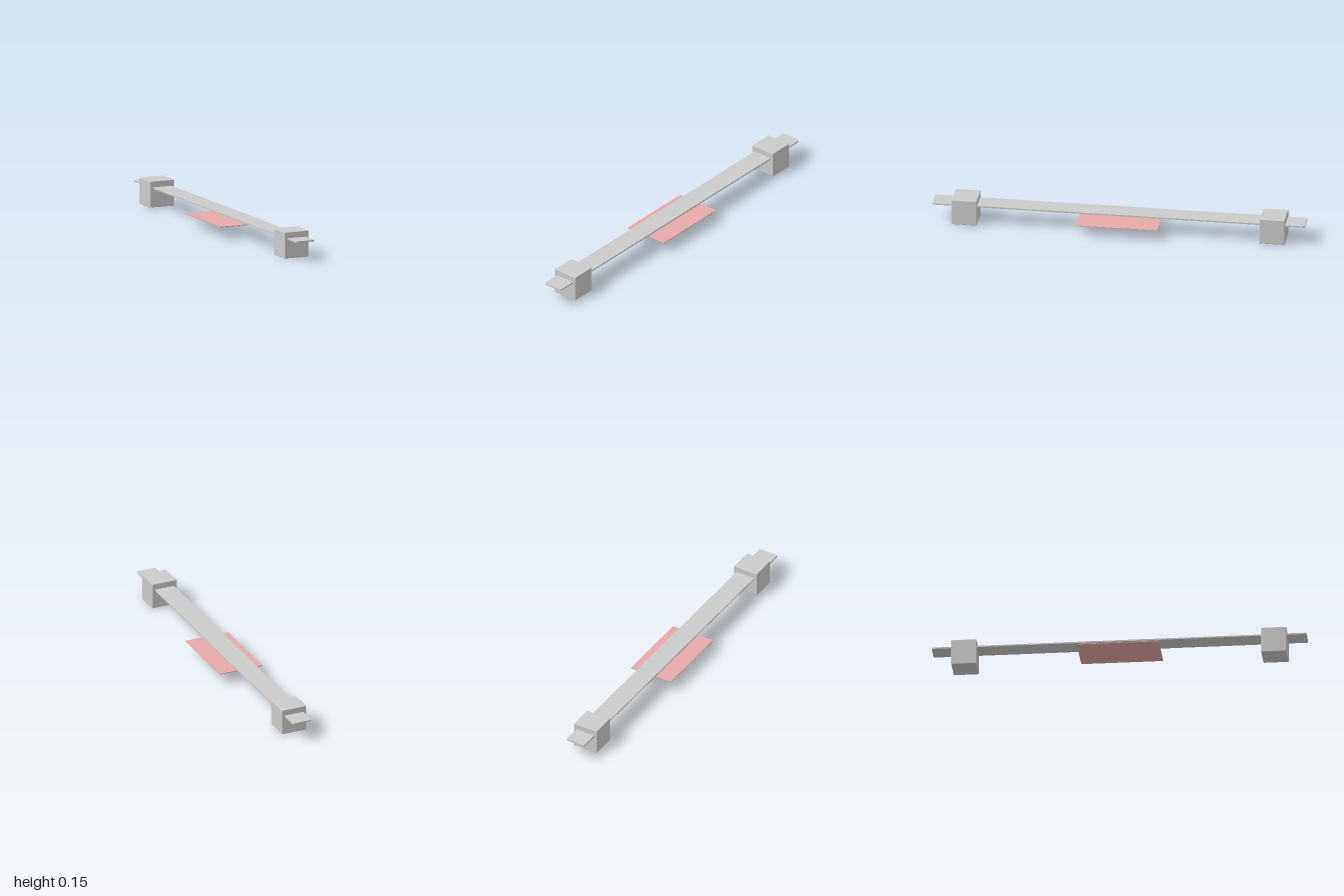
import * as THREE from 'three';
import { RoundedBoxGeometry } from 'three/addons/geometries/RoundedBoxGeometry.js';

const grey = new THREE.MeshStandardMaterial({ color: 0xcccccc });
const pink = new THREE.MeshStandardMaterial({ color: 0xe8a9ab });

function part(name, geometry, material, x, y) {
  const mesh = new THREE.Mesh(geometry, material);
  mesh.name = name;
  mesh.position.set(x, y, 0);
  return mesh;
}

// Flat slab lying in the xz plane, with rounded corners, its base at y = 0
function slab(length, width, thickness, r) {
  const x = length / 2, z = width / 2;
  const shape = new THREE.Shape();
  shape.absarc(x - r, z - r, r, 0, Math.PI / 2);
  shape.absarc(-x + r, z - r, r, Math.PI / 2, Math.PI);
  shape.absarc(-x + r, -z + r, r, Math.PI, Math.PI * 1.5);
  shape.absarc(x - r, -z + r, r, Math.PI * 1.5, Math.PI * 2);
  return new THREE.ExtrudeGeometry(shape, { depth: thickness, bevelEnabled: false, curveSegments: 4 })
    .rotateX(-Math.PI / 2);
}

export function createModel() {
  const model = new THREE.Group();
  model.name = 'barrierOnBlocks';

  // Long plank passing through both blocks
  model.add(part('plank', slab(2.075, 0.115, 0.008, 0.01), grey, 0, 0.105));

  // Thin panel below the middle of the plank
  model.add(part('panel', new THREE.BoxGeometry(0.454, 0.004, 0.258), pink, 0, 0.065));

  // Support block near each end
  for (const [name, side] of [['leftBlock', 1], ['rightBlock', -1]]) {
    const block = new RoundedBoxGeometry(0.14, 0.147, 0.147, 2, 0.003);
    model.add(part(name, block, grey, side * 0.858, 0.0735));
  }

  // The whole assembly stands diagonally
  model.rotation.y = -THREE.MathUtils.degToRad(18.9);
  return model;
}
